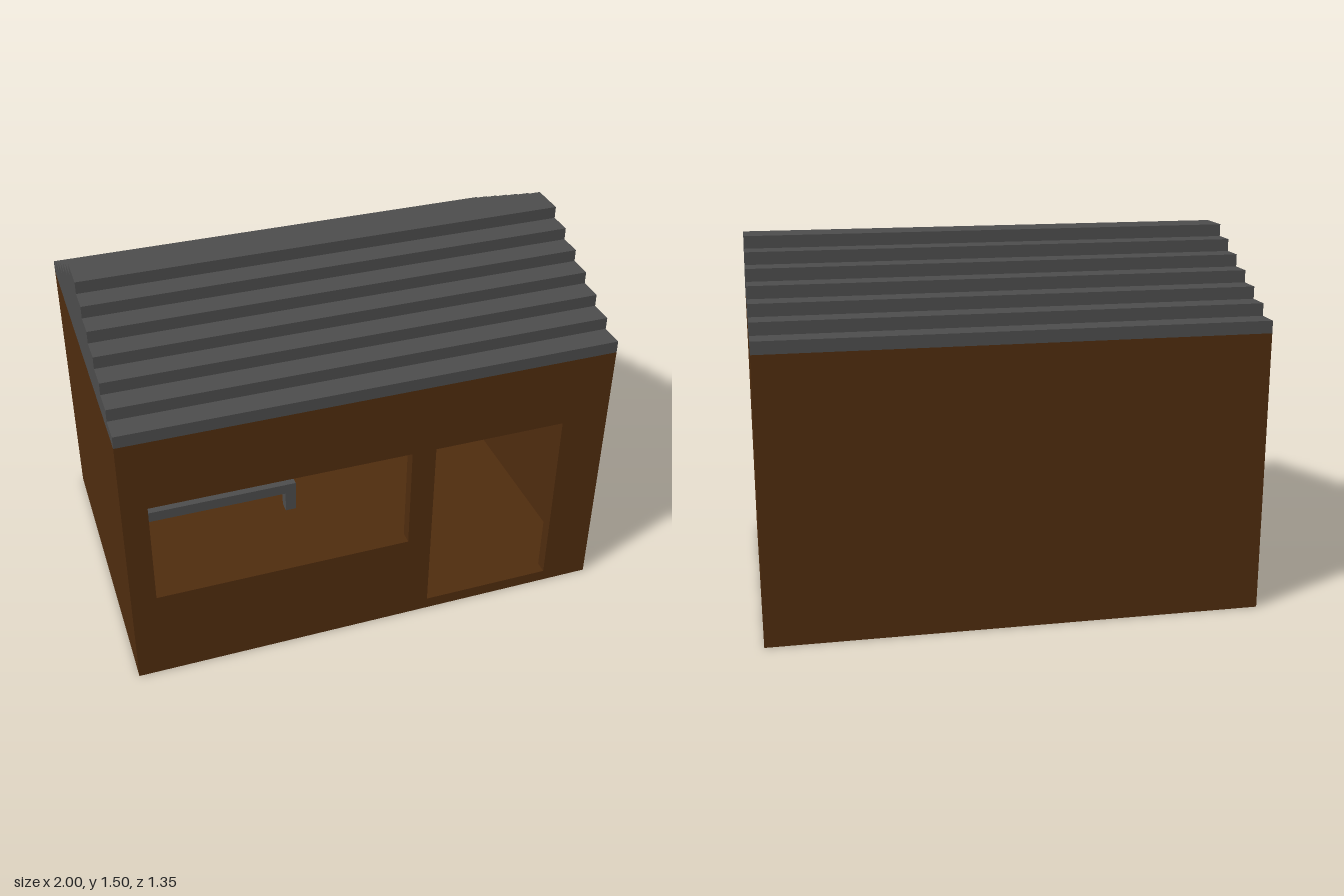
import * as THREE from 'three';

const wood = new THREE.MeshStandardMaterial({ color: 0x4f2c0e, name: 'brown wood' });
const grey = new THREE.MeshStandardMaterial({ color: 0x4c4c4c, name: 'dark grey' });
const red = new THREE.MeshStandardMaterial({ color: 0xb00d10, name: 'blanket red' });
const white = new THREE.MeshStandardMaterial({ color: 0xdcdcdc, name: 'linen white' });

// Box given by its minimum and maximum corners
function box(name, material, [x0, y0, z0], [x1, y1, z1]) {
  const geometry = new THREE.BoxGeometry(x1 - x0, y1 - y0, z1 - z0);
  const mesh = new THREE.Mesh(geometry, material);
  mesh.position.set((x0 + x1) / 2, (y0 + y1) / 2, (z0 + z1) / 2);
  mesh.name = name;
  return mesh;
}

function rectangle(path, x0, y0, x1, y1) {
  path.moveTo(x0, y0);
  path.lineTo(x1, y0);
  path.lineTo(x1, y1);
  path.lineTo(x0, y1);
  path.closePath();
  return path;
}

const W = 1, D = 0.675, T = 0.05, WALL_TOP = 1.15;

function createWalls() {
  const house = new THREE.Group();
  house.name = 'house';

  // Front wall with window and doorway openings
  const front = rectangle(new THREE.Shape(), -W, 0, W, WALL_TOP);
  front.holes.push(rectangle(new THREE.Path(), -0.9, 0.4, 0.15, 0.85));
  front.holes.push(rectangle(new THREE.Path(), 0.25, T, 0.8, 0.85));
  const frontWall = new THREE.Mesh(
    new THREE.ExtrudeGeometry(front, { depth: T, bevelEnabled: false }), wood);
  frontWall.position.z = D - T;
  frontWall.name = 'frontWall';

  house.add(
    frontWall,
    box('backWall', wood, [-W, 0, -D], [W, WALL_TOP, -D + T]),
    box('rightWall', wood, [-W, 0, -D + T], [-W + T, WALL_TOP, D - T]),
    box('leftWall', wood, [W - T, 0, -D + T], [W, WALL_TOP, D - T]),
    box('floor', wood, [-W + T, 0, -D + T], [W - T, T, D - T]));
  return house;
}

// Stepped gable profile extruded along the house
function createRoof() {
  const steps = 7, rise = 0.05, run = 0.1;
  const side = [];
  for (let i = 0; i < steps; i++) {
    const half = D - i * run;
    side.push([half, i * rise], [half, (i + 1) * rise]);
  }
  const mirrored = side.map(([z, y]) => [-z, y]).reverse();
  const shape = new THREE.Shape([...side, ...mirrored].map(([z, y]) => new THREE.Vector2(z, y)));
  const geometry = new THREE.ExtrudeGeometry(shape, { depth: 2 * W, bevelEnabled: false });
  geometry.rotateY(Math.PI / 2);
  const roof = new THREE.Mesh(geometry, grey);
  roof.position.set(-W, WALL_TOP, 0);
  roof.name = 'steppedRoof';
  return roof;
}

function createBed() {
  const bed = new THREE.Group();
  bed.name = 'bed';
  const x0 = -0.95, x1 = -0.1, z0 = -0.625, z1 = -0.075, low = 0.15, top = 0.2;

  // Corner posts, taller at the head
  for (const z of [z0, z1 - T]) {
    bed.add(box('headPost', grey, [x0, T, z], [x0 + T, 0.4, z + T]));
    bed.add(box('footPost', grey, [x1 - T, T, z], [x1, top, z + T]));
    bed.add(box('sideRail', grey, [x0 + T, low, z], [x1 - T, top, z + T]));
  }
  for (const x of [x0, x1 - T]) {
    bed.add(box('endRail', grey, [x, low, z0 + T], [x + T, top, z1 - T]));
  }

  // Bedding
  bed.add(
    box('sheet', white, [x0 + T, low, z0 + T], [-0.7, top, z1 - T]),
    box('blanket', red, [-0.7, low, z0 + T], [x1 - T, top, z1 - T]),
    box('pillow', white, [x0 + T, top, -0.525], [-0.7, top + T, -0.175]));
  return bed;
}

export function createModel() {
  const model = new THREE.Group();
  model.name = 'cabin';
  model.add(createWalls(), createRoof(), createBed());
  return model;
}
